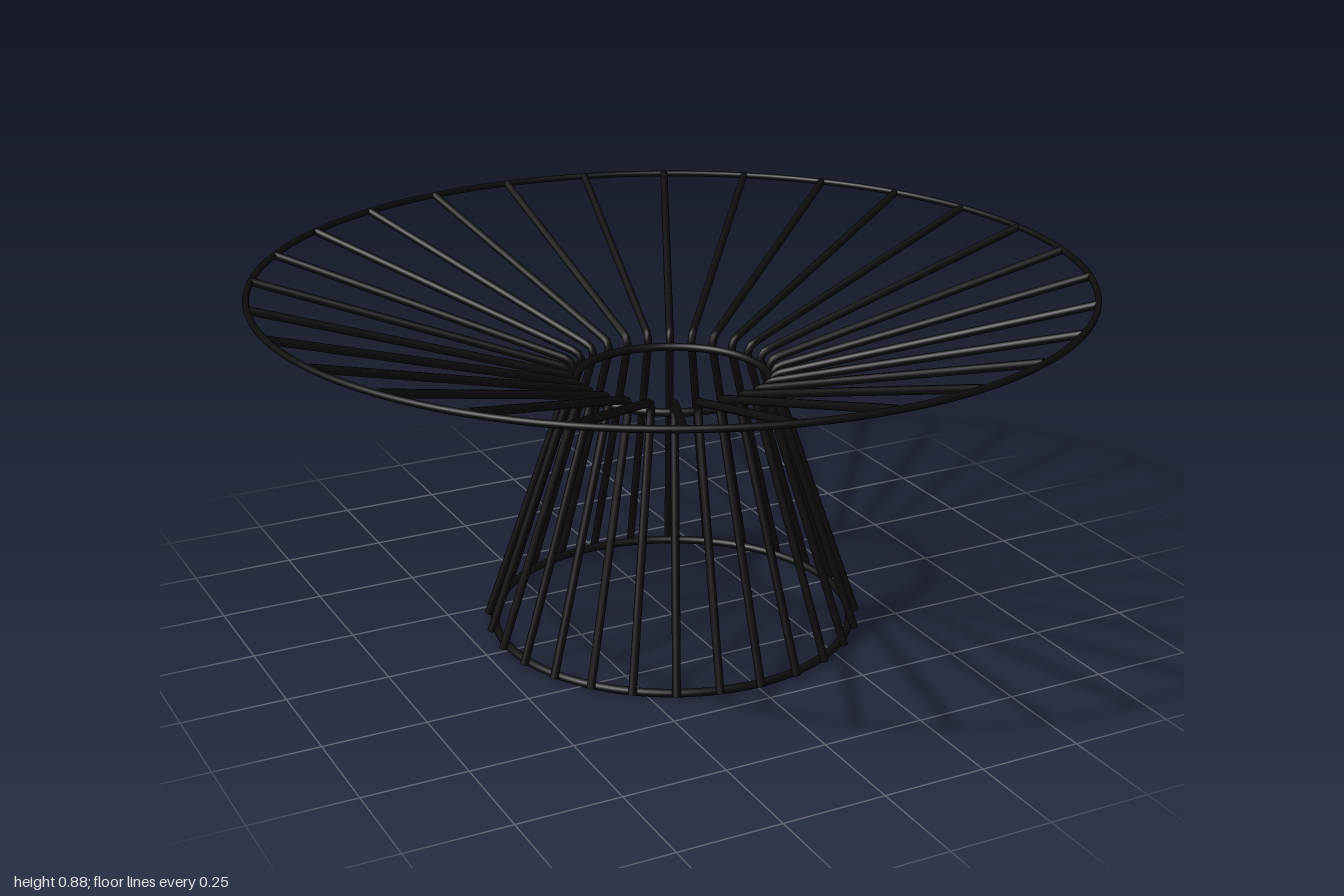
import * as THREE from 'three';
import { mergeGeometries } from 'three/addons/utils/BufferGeometryUtils.js';

const SPOKES = 28;
const WIRE = 0.01;

// Bent wire in the plane x = 0: straight leg, tight bend at the neck, straight arm
function wireGeometry() {
  const p = (r, y) => new THREE.Vector3(0, y, r);
  const foot = p(0.457, 0.011), tip = p(0.987, 0.876);
  const bendStart = p(0.246, 0.625), corner = p(0.236, 0.653), bendEnd = p(0.266, 0.662);
  const path = new THREE.CurvePath();
  path.add(new THREE.LineCurve3(foot, bendStart));
  path.add(new THREE.QuadraticBezierCurve3(bendStart, corner, bendEnd));
  path.add(new THREE.LineCurve3(bendEnd, tip));

  // Flat discs close the two ends of the wire
  const cap = (at, from) => {
    const dir = at.clone().sub(from).normalize();
    const turn = new THREE.Quaternion().setFromUnitVectors(new THREE.Vector3(0, 0, 1), dir);
    return new THREE.CircleGeometry(WIRE, 10).applyQuaternion(turn).translate(at.x, at.y, at.z);
  };
  return mergeGeometries([
    new THREE.TubeGeometry(path, 100, WIRE, 10, false),
    cap(foot, bendStart),
    cap(tip, bendEnd),
  ]);
}

export function createModel() {
  const model = new THREE.Group();
  model.name = 'wireTableBase';
  const black = new THREE.MeshStandardMaterial({ color: 0x0d0d0d });

  // Ring of wires fanned around the axis
  const wires = new THREE.Group();
  wires.name = 'wires';
  const wire = wireGeometry();
  for (let i = 0; i < SPOKES; i++) {
    const mesh = new THREE.Mesh(wire, black);
    mesh.name = 'wire' + (i + 1);
    mesh.rotation.y = (i / SPOKES) * Math.PI * 2;
    wires.add(mesh);
  }
  model.add(wires);

  // Horizontal hoops welded to the wires
  const hoops = [
    ['baseRing', 0.441, 0.012, 0.01],
    ['neckRing', 0.234, 0.628, 0.01],
    ['topRing', 0.99, 0.876, 0.008],
  ];
  for (const [name, radius, y, thickness] of hoops) {
    const ring = new THREE.Mesh(new THREE.TorusGeometry(radius, thickness, 10, 112), black);
    ring.name = name;
    ring.rotation.x = Math.PI / 2;
    ring.position.y = y;
    model.add(ring);
  }
  return model;
}
